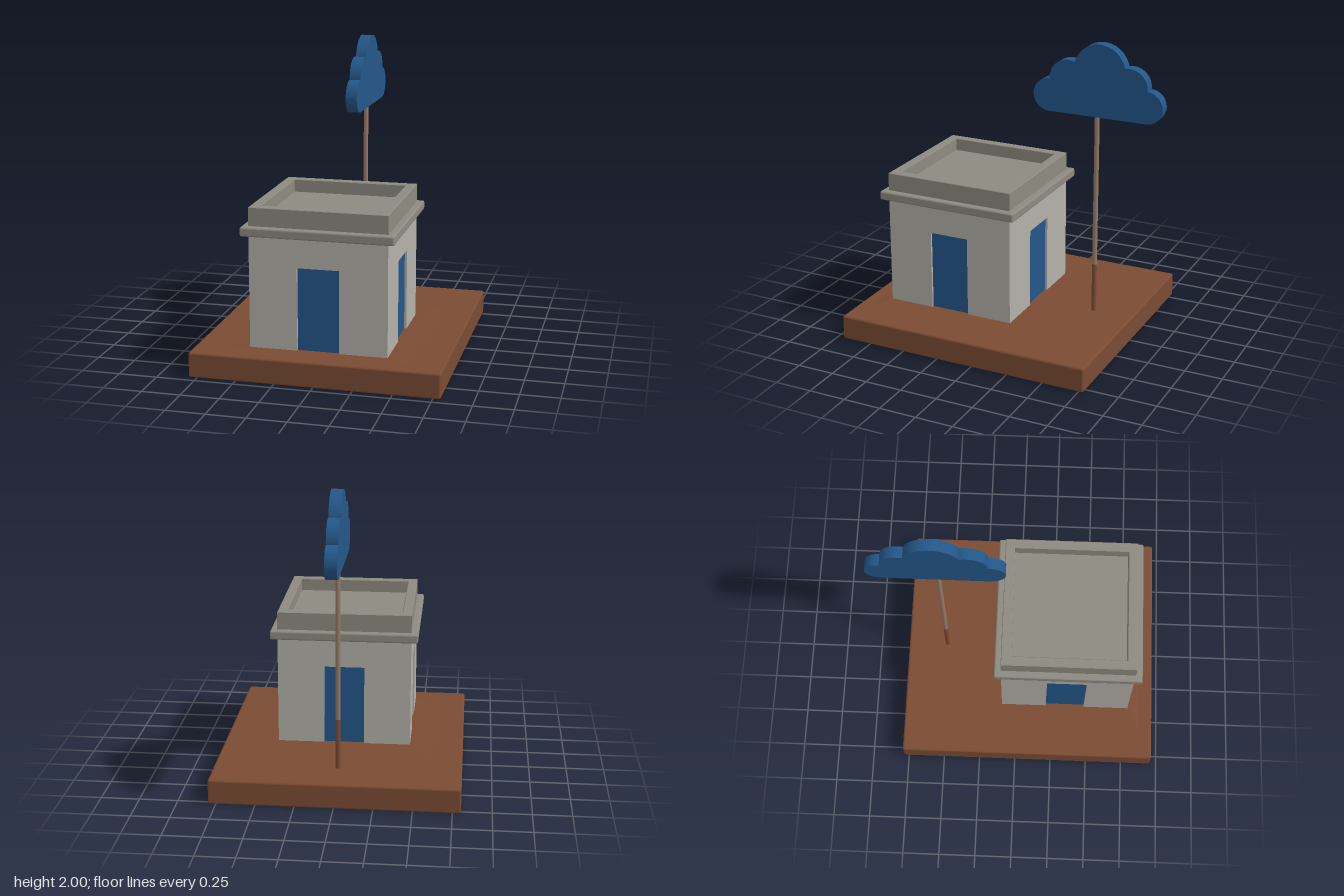
import * as THREE from 'three';
import { RoundedBoxGeometry } from 'three/addons/geometries/RoundedBoxGeometry.js';

const mat = (name, color) => {
  const m = new THREE.MeshStandardMaterial({ color });
  m.name = name;
  return m;
};

export function createModel() {
  const earth = mat('earth brown', 0x7b4b33);
  const plaster = mat('plaster grey', 0xb4b0a9);
  const stone = mat('roof stone', 0x8d8a80);
  const blue = mat('blue', 0x235789);
  const wood = mat('pole wood', 0x967a68);

  const model = new THREE.Group();
  const add = (name, geometry, material, x, y, z, parent = model) => {
    const mesh = new THREE.Mesh(geometry, material);
    mesh.name = name;
    mesh.position.set(x, y, z);
    parent.add(mesh);
    return mesh;
  };
  const box = (w, h, d) => new THREE.BoxGeometry(w, h, d);
  const rounded = (w, h, d, r) => new RoundedBoxGeometry(w, h, d, 2, r);

  // Ground slab with a gently crowned top
  add('groundSlab', rounded(1.605, 0.165, 1.74, 0.015), earth, -0.002, 0.0825, 0.085);
  const crown = box(1.58, 0.02, 1.71).toNonIndexed();
  const p = crown.attributes.position;
  for (let i = 0; i < p.count; i++) {
    if (p.getY(i) > 0) p.setXYZ(i, Math.sign(p.getX(i)) * 0.46, 0.01, 0.255 + Math.sign(p.getZ(i)) * 0.46);
  }
  crown.computeVertexNormals();
  add('groundCrown', crown, earth, -0.002, 0.164, 0.085);

  // Square house: corner piers and a lintel around a blue core that shows as four recessed doors
  const house = new THREE.Group();
  house.name = 'house';
  house.position.set(-0.007, 0, 0.34);
  model.add(house);
  const half = 0.443, door = 0.134, pier = half - door;
  for (const sx of [-1, 1]) {
    for (const sz of [-1, 1]) {
      add('cornerPier', box(pier, 0.76, pier), plaster, sx * (door + pier / 2), 0.53, sz * (door + pier / 2), house);
    }
  }
  add('lintel', box(half * 2, 0.2, half * 2), plaster, 0, 0.81, 0, house);
  const inset = 0.015;
  add('frontBackDoors', box(door * 2, 0.56, (half - inset) * 2), blue, 0, 0.43, 0, house);
  add('sideDoors', box((half - inset) * 2, 0.56, door * 2), blue, 0, 0.43, 0, house);

  // Cornice, parapet ring and sunken roof deck
  add('cornice', rounded(0.975, 0.06, 0.975, 0.012), stone, 0, 0.93, 0, house);
  const square = (Type, s) => new Type([[-s, -s], [s, -s], [s, s], [-s, s]].map(([x, y]) => new THREE.Vector2(x, y)));
  const ring = square(THREE.Shape, half - 0.004);
  ring.holes.push(square(THREE.Path, 0.383));
  const ringGeo = new THREE.ExtrudeGeometry(ring, {
    depth: 0.122, bevelEnabled: true, bevelThickness: 0.004, bevelSize: 0.004, bevelSegments: 1,
  });
  ringGeo.rotateX(-Math.PI / 2);
  add('parapet', ringGeo, stone, 0, 0.954, 0, house);
  add('roofDeck', box(0.77, 0.05, 0.77), stone, 0, 0.97, 0, house);

  // Pole, earth-stained near the ground
  const poleX = -0.006, poleZ = -0.51;
  add('poleFoot', new THREE.CylinderGeometry(0.016, 0.016, 0.35, 12), earth, poleX, 0.325, poleZ);
  add('pole', new THREE.CylinderGeometry(0.016, 0.016, 1.05, 12), wood, poleX, 1.025, poleZ);

  // Flat cloud: puffs [centre, height, radius] joined at the notches between them
  const puffs = [
    [0.855, 1.63, 0.105], [0.735, 1.745, 0.123], [0.535, 1.825, 0.175],
    [0.32, 1.75, 0.128], [0.188, 1.633, 0.108],
  ];
  const notches = [[0.855, 1.525], [0.853, 1.735], [0.704, 1.859], [0.376, 1.868], [0.193, 1.739], [0.188, 1.525]];
  const cloud = new THREE.Shape();
  cloud.moveTo(...notches[0]);
  puffs.forEach(([u, y, r], i) => {
    const angle = ([a, b]) => Math.atan2(b - y, a - u);
    cloud.absarc(u, y, r, angle(notches[i]), angle(notches[i + 1]), false);
  });
  cloud.closePath();
  const cloudGeo = new THREE.ExtrudeGeometry(cloud, { depth: 0.075, bevelEnabled: false, curveSegments: 20 });
  cloudGeo.rotateY(Math.PI / 2);
  add('cloud', cloudGeo, blue, -0.044, 0, 0);

  return model;
}
